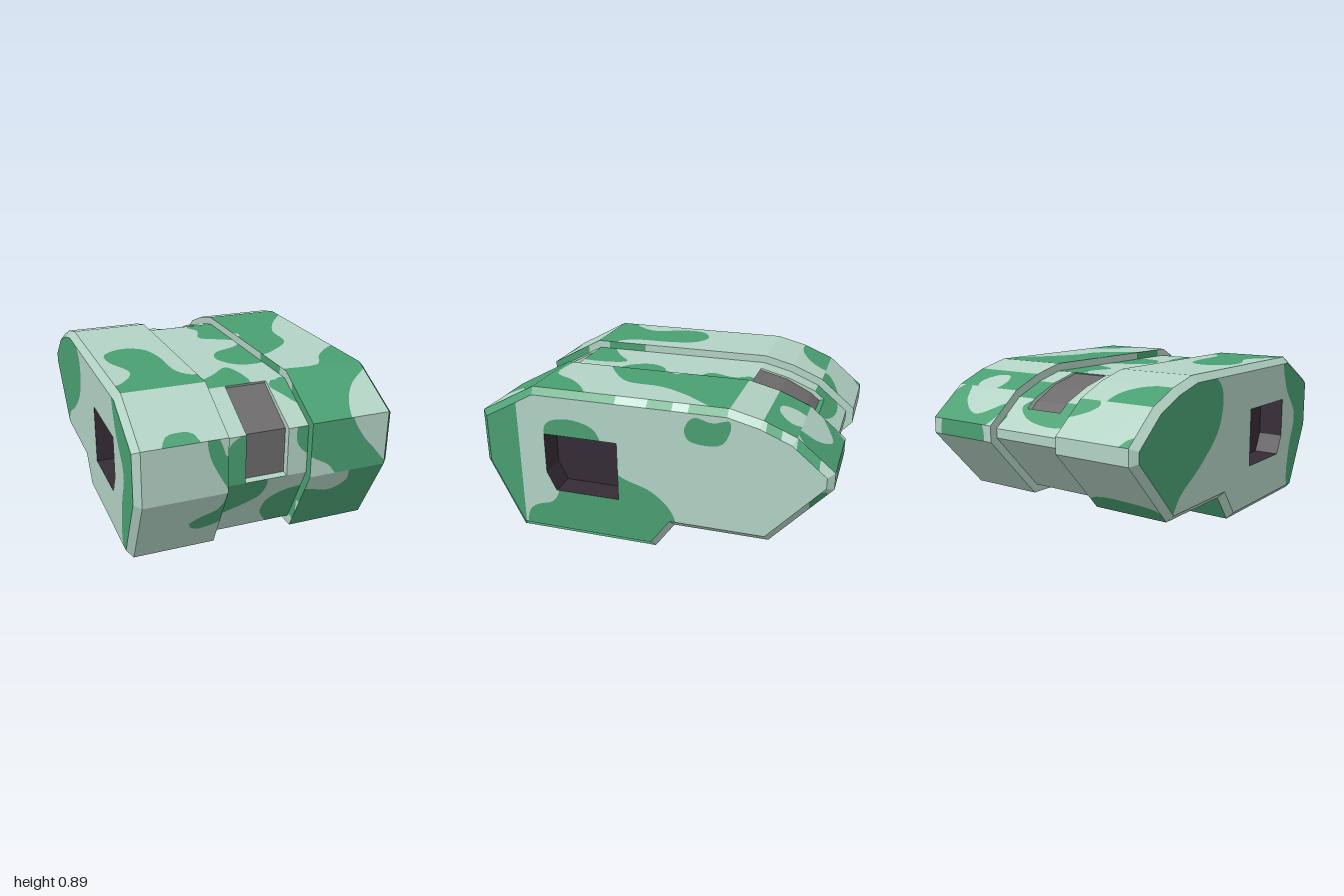
import * as THREE from 'three';

const mat = (name, color) => new THREE.MeshStandardMaterial({ name, color, side: THREE.DoubleSide });
const V = (x, [z, y]) => new THREE.Vector3(x, y, z);

// Body outline as [z, y], from the front's lower corner up, over the top and back underneath
const OUTER = [[1, 0.405], [1, 0.713], [0.675, 0.889], [-0.444, 0.889], [-0.62, 0.845], [-0.797, 0.772],
  [-1, 0.604], [-1, 0.513], [-0.674, 0.155], [-0.143, 0.155], [-0.03, 0], [0.8, 0]];
const POCKET = [[0.61, 0.39], [0.61, 0.625], [0.175, 0.625], [0.175, 0.28], [0.555, 0.28]];
const HALF = 0.72, RIM = 0.685, GAP = 0.232, PANEL = 0.118;

// Moves a closed outline inward by d, with mitred corners
function inset(pts, d) {
  const n = pts.length;
  const normal = (i) => {
    const a = pts[(i + n) % n], b = pts[(i + 1) % n];
    const l = Math.hypot(b[0] - a[0], b[1] - a[1]);
    return [(b[1] - a[1]) / l, (a[0] - b[0]) / l];
  };
  return pts.map((p, i) => {
    const m = normal(i - 1), k = normal(i);
    const s = d / (1 + m[0] * k[0] + m[1] * k[1]);
    return [p[0] - s * (m[0] + k[0]), p[1] - s * (m[1] + k[1])];
  });
}

// Camouflage: smooth closed blobs drawn in two axes
const blob = (...c) => {
  const pts = [];
  for (let i = 0; i < c.length; i += 2) pts.push(new THREE.Vector3(c[i], c[i + 1], 0));
  return new THREE.CatmullRomCurve3(pts, true).getPoints(pts.length * 5);
};
const box = (u0, v0, u1, v1) => [[u0, v0], [u1, v0], [u1, v1], [u0, v1], [u0, v0]].map(([x, y]) => ({ x, y }));
const map = (axes, green, pale = []) => ({ axes, green, pale });

function blobDistance(poly, u, v) {
  let best = Infinity, inside = false;
  for (let i = 0; i + 1 < poly.length; i++) {
    const a = poly[i], b = poly[i + 1], dx = b.x - a.x, dy = b.y - a.y;
    const t = Math.min(1, Math.max(0, ((u - a.x) * dx + (v - a.y) * dy) / (dx * dx + dy * dy || 1)));
    best = Math.min(best, Math.hypot(u - a.x - t * dx, v - a.y - t * dy));
    if ((a.y > v) !== (b.y > v) && u < a.x + (dx * (v - a.y)) / dy) inside = !inside;
  }
  return inside ? best : -best;
}
function greenness(m, p) {
  const u = p[m.axes[0]], v = p[m.axes[1]];
  let f = -1;
  for (const g of m.green) f = Math.max(f, blobDistance(g, u, v));
  for (const g of m.pale) f = Math.min(f, -blobDistance(g, u, v));
  return f;
}

function makeMaps() {
  const front = map('xy', [
    blob(-0.34, 0.74, -0.335, 0.64, -0.29, 0.53, -0.235, 0.43, -0.22, 0.38, 0, 0.38, 0, 0.6, -0.11, 0.69, -0.19, 0.66, -0.24, 0.6, -0.26, 0.66, -0.3, 0.74),
    blob(0.19, 0.72, 0.165, 0.65, 0.18, 0.58, 0.24, 0.52, 0.34, 0.46, 0.41, 0.38, 0.7, 0.38, 0.63, 0.49, 0.55, 0.58, 0.49, 0.67, 0.45, 0.74)]);
  const frontTop = map('xy', [box(0.232, 0.6, 0.8, 1), blob(-0.58, 0.7, -0.55, 0.74, -0.47, 0.75, -0.4, 0.74, -0.38, 0.7), blob(0.12, 0.83, 0.24, 0.85, 0.24, 0.76, 0.18, 0.79)],
    [blob(0.74, 0.87, 0.65, 0.85, 0.55, 0.81, 0.48, 0.75, 0.46, 0.69, 0.75, 0.68)]);
  const top = map('xz', [
    blob(-0.5, 0, -0.62, 0.07, -0.63, 0.2, -0.56, 0.4, -0.64, 0.54, -0.74, 0.61, -0.74, 0.75, 0, 0.75, 0, 0.39, -0.13, 0.49, -0.25, 0.55, -0.32, 0.47, -0.34, 0.2, -0.39, 0.05),
    blob(0.05, -0.43, 0.09, -0.32, 0.05, -0.17, 0.16, -0.1, 0.26, -0.03, 0.19, 0.06, 0.04, 0.13, 0, 0.24, 0.08, 0.37, 0.21, 0.39, 0.34, 0.32, 0.46, 0.2, 0.48, 0, 0.56, -0.17, 0.68, -0.33, 0.75, -0.44),
    blob(0.18, 0.65, 0.44, 0.64, 0.53, 0.5, 0.68, 0.37, 0.78, 0.35, 0.78, 0.76, 0.2, 0.76)]);
  const backMid = map('xz', [
    blob(-0.7, -0.83, -0.41, -0.83, -0.42, -0.72, -0.5, -0.65, -0.6, -0.62, -0.7, -0.63), box(0.11, -0.85, 0.75, -0.5)],
    [blob(0.37, -0.74, 0.4, -0.67, 0.49, -0.67, 0.56, -0.75, 0.52, -0.81, 0.4, -0.81)]);
  const backLow = map('xz', [
    blob(-0.38, -0.82, -0.29, -0.88, -0.13, -0.91, 0.08, -0.88, 0.16, -0.82, 0.08, -0.77, -0.3, -0.77),
    blob(0.22, -0.87, 0.24, -0.95, 0.3, -1.02, 0.7, -1.02, 0.69, -0.85, 0.6, -0.78, 0.54, -0.88, 0.4, -0.95),
    blob(-0.7, -1.02, -0.62, -1.02, -0.66, -0.96, -0.72, -0.95)]);
  const back = map('xy', [blob(0.3, 0.48, 0.62, 0.48, 0.6, 0.64, 0.32, 0.64)]);
  const underSlope = map('xz', [blob(-0.7, -0.6, -0.3, -0.6, -0.15, -0.63, -0.25, -0.74, -0.5, -0.76, -0.7, -0.72)]);
  const under = map('xz', [
    blob(0.1, -0.1, 0.7, -0.1, 0.66, -0.35, 0.4, -0.5, 0.12, -0.4), blob(-0.72, -0.15, -0.2, -0.15, -0.1, -0.4, -0.3, -0.7, -0.72, -0.7)]);
  const step = map('xz', [box(-0.8, -0.2, -0.4, 0.05), box(-0.08, -0.2, 0.2, 0.05)]);
  const bottom = map('xz', [
    blob(0.72, -0.05, 0.72, 0.85, 0.08, 0.85, 0.03, 0.6, 0.18, 0.4, 0.12, 0.15, 0.2, -0.05),
    blob(-0.72, 0.1, -0.72, 0.6, -0.5, 0.65, -0.3, 0.5, -0.35, 0.2, -0.5, 0.05)]);
  const frontLow = map('xy', [
    blob(-0.23, 0.43, 0, 0.43, 0, 0.3, -0.09, 0.24, -0.19, 0.2, -0.27, 0.16, -0.37, 0.15, -0.41, 0.2, -0.34, 0.25, -0.27, 0.28, -0.24, 0.34),
    blob(0.1, 0.03, 0.03, 0.15, 0.05, 0.24, 0.12, 0.29, 0.23, 0.31, 0.4, 0.27, 0.48, 0.33, 0.47, 0.43, 0.75, 0.43, 0.75, -0.05, 0.15, -0.05)]);
  const plain = map('xy', []);
  return {
    edges: [front, frontTop, top, plain, backMid, backLow, back, underSlope, under, step, bottom, frontLow],
    plain, backLow,
    leftSide: map('zy', [box(0.77, -0.1, 1.1, 1),
      blob(0.61, 0.63, 0.59, 0.695, 0.46, 0.73, 0.31, 0.69, 0.26, 0.6, 0.18, 0.44, -0.02, 0.36, -0.13, 0.26, -0.16, 0.17, -0.1, 0, 0.74, 0, 0.74, 0.12, 0.68, 0.17, 0.59, 0.2, 0.54, 0.28),
      blob(-0.21, 0.76, -0.26, 0.83, -0.36, 0.81, -0.46, 0.83, -0.42, 0.7, -0.31, 0.68, -0.23, 0.7)]),
    rightSide: map('zy', [
      blob(-1.02, 0.5, -0.95, 0.7, -0.65, 0.88, -0.3, 0.88, -0.17, 0.78, -0.2, 0.58, -0.4, 0.4, -0.6, 0.28, -0.72, 0.15),
      blob(0.62, 0.9, 1.05, 0.8, 1.05, 0.4, 0.85, -0.05, 0.72, 0.05, 0.74, 0.3, 0.8, 0.5, 0.66, 0.7)]),
    leftRim: map('zy', [box(0.18, 0.4, 1.1, 1), box(-0.14, 0.5, 0, 1), box(-0.44, 0.5, -0.23, 1),
      box(-0.72, 0.6, -0.64, 1), box(-0.92, 0.6, -0.8, 1), box(-0.97, 0.3, -0.88, 0.5)]),
    groove: map('zy', [box(0.75, 0.06, 1.1, 1), box(0.35, 0.7, 0.6, 1)], [box(0.86, 0.12, 0.92, 0.2)]),
  };
}

// Collects triangles, cutting them along the camouflage edges
class Skin {
  constructor() { this.parts = [[], []]; }
  tri(a, b, c, m) {
    const ab = a.distanceTo(b), bc = b.distanceTo(c), ca = c.distanceTo(a), longest = Math.max(ab, bc, ca);
    if (longest < 0.04 || m.green.length === 0) return this.cut([a, b, c], m);
    if (longest > ab) return this.tri(b, c, a, m);
    const mid = a.clone().lerp(b, 0.5);
    this.tri(a, mid, c, m);
    this.tri(mid, b, c, m);
  }
  cut(t, m) {
    const f = t.map((p) => greenness(m, p)), s = f.map((v) => (v >= 0 ? 1 : 0));
    if (s[0] === s[1] && s[1] === s[2]) return void this.parts[s[0]].push(...t);
    const i = [0, 1, 2].find((k) => s[k] !== s[(k + 1) % 3] && s[k] !== s[(k + 2) % 3]);
    const j = (i + 1) % 3, k = (i + 2) % 3;
    const p = t[i].clone().lerp(t[j], f[i] / (f[i] - f[j])), q = t[i].clone().lerp(t[k], f[i] / (f[i] - f[k]));
    this.parts[s[i]].push(t[i], p, q);
    this.parts[s[j]].push(p, t[j], t[k], p, t[k], q);
  }
  // Bands between outline a at x0 and outline b at x1
  loft(a, x0, b, x1, maps, closed = true, skip = []) {
    for (let i = 0; i < a.length - (closed ? 0 : 1); i++) {
      if (skip.includes(i)) continue;
      const j = (i + 1) % a.length, m = Array.isArray(maps) ? maps[i] : maps;
      this.tri(V(x0, a[i]), V(x1, b[i]), V(x1, b[j]), m);
      this.tri(V(x0, a[i]), V(x1, b[j]), V(x0, a[j]), m);
    }
  }
  // Flat end facing along x, with optional openings
  cap(outline, holes, x, facing, m) {
    const v2 = (l) => l.map(([z, y]) => new THREE.Vector2(z, y));
    const pts = [outline, ...holes].flat();
    for (const f of THREE.ShapeUtils.triangulateShape(v2(outline), holes.map(v2))) {
      const [a, b, c] = f.map((i) => V(x, pts[i]));
      const nx = b.clone().sub(a).cross(c.clone().sub(a)).x;
      if (nx * facing > 0) this.tri(a, b, c, m); else this.tri(a, c, b, m);
    }
  }
  mesh(name, materials) {
    const geo = new THREE.BufferGeometry().setFromPoints(this.parts.flat());
    geo.addGroup(0, this.parts[0].length, 0);
    geo.addGroup(this.parts[0].length, this.parts[1].length, 1);
    geo.computeVertexNormals();
    const mesh = new THREE.Mesh(geo, materials);
    mesh.name = name;
    return mesh;
  }
}

export function createModel() {
  const model = new THREE.Group();
  model.name = 'camouflagedShell';
  const paint = [mat('paleGreen', 0xb2d2c4), mat('camouflageGreen', 0x4a9f72)];
  const grey = mat('panelGrey', 0x6c6a6a), dark = mat('pocketDark', 0x352b35);
  const maps = makeMaps(), inner = inset(OUTER, 0.045), face = inset(OUTER, 0.037);

  // Two side blocks with bevelled rims and a pocket each
  for (const s of [1, -1]) {
    const skin = new Skin(), side = s > 0 ? maps.leftSide : maps.rightSide;
    if (s > 0) {
      skin.loft(OUTER, GAP, OUTER, RIM, maps.edges);
      skin.loft(OUTER, RIM, face, HALF, maps.leftRim, true, [10, 11]); // lower rim is open here
      skin.loft(inner, GAP, OUTER, GAP, maps.groove);
    } else {
      skin.loft(OUTER, -RIM, OUTER, -GAP, maps.edges);
      skin.loft(face, -HALF, OUTER, -RIM, maps.plain);
      skin.loft(OUTER, -GAP, inner, -GAP, maps.groove);
    }
    skin.cap(face, [POCKET], s * HALF, s, side);
    const pocket = new Skin(), floor = s * (HALF - 0.15);
    if (s > 0) pocket.loft(POCKET, HALF, POCKET, floor, maps.plain);
    else pocket.loft(POCKET, floor, POCKET, -HALF, maps.plain);
    pocket.cap(POCKET, [], floor, s, maps.plain);
    const block = new THREE.Group();
    block.name = s > 0 ? 'leftBlock' : 'rightBlock';
    block.add(skin.mesh('sideShell', paint), pocket.mesh('sidePocket', [dark, dark]));
    model.add(block);
  }

  // Lower centre band, unbroken at both sides of the panels
  const band = new Skin(), q = inner;
  band.loft(q, -GAP, q, -PANEL, maps.edges);
  band.loft(q, PANEL, q, GAP, maps.edges);
  const on = (i, z) => {
    const a = q[i], b = q[(i + 1) % q.length], t = (z - a[0]) / (b[0] - a[0]);
    return [z, a[1] + t * (b[1] - a[1])];
  };
  const backEnd = on(5, -0.83), d0 = on(8, -0.64), d1 = on(8, -0.34), b0 = on(10, 0.08), b1 = on(10, 0.49);
  const strips = [[2, q[2], q[3]], [5, backEnd, q[6]], [6, q[6], q[7]], [7, q[7], q[8]], [8, q[8], d0], [8, d1, q[9]],
    [9, q[9], q[10]], [10, q[10], b0], [10, b1, q[11]], [11, q[11], q[0]]];
  for (const [i, a, b] of strips) band.loft([a, b], -PANEL, [a, b], PANEL, maps.edges[i], false);

  // Sunken panels in the centre band: outer path, sunken path, colour, ledge pattern
  const raise = (path, d) => path.map(([z, y]) => [z, y + d]);
  const panels = [
    ['frontPanel', [q[0], q[1], q[2]], [[0.915, 0.42], [0.915, 0.672], [0.65, 0.828]], grey, maps.plain],
    ['backPanel', [q[3], q[4], q[5], backEnd], [[-0.425, 0.836], [-0.6, 0.793], [-0.75, 0.718], [-0.8, 0.677]], grey, maps.backLow],
    ['rearUnderPanel', [d0, d1], raise([d0, d1], 0.02), dark, maps.plain],
    ['bottomPanel', [b0, b1], raise([b0, b1], 0.005), grey, maps.plain]];
  for (const [name, path, sunk, material, ledge] of panels) {
    const e = path.length - 1, panel = new Skin();
    panel.loft(sunk, -PANEL, sunk, PANEL, maps.plain, false);
    model.add(panel.mesh(name, [material, material]));
    band.loft(path, -PANEL, sunk, -PANEL, maps.plain, false);
    band.loft(sunk, PANEL, path, PANEL, maps.plain, false);
    for (const l of [[path[0], sunk[0]], [sunk[e], path[e]]]) band.loft(l, -PANEL, l, PANEL, ledge, false);
  }
  model.add(band.mesh('centreBand', paint));
  return model;
}
